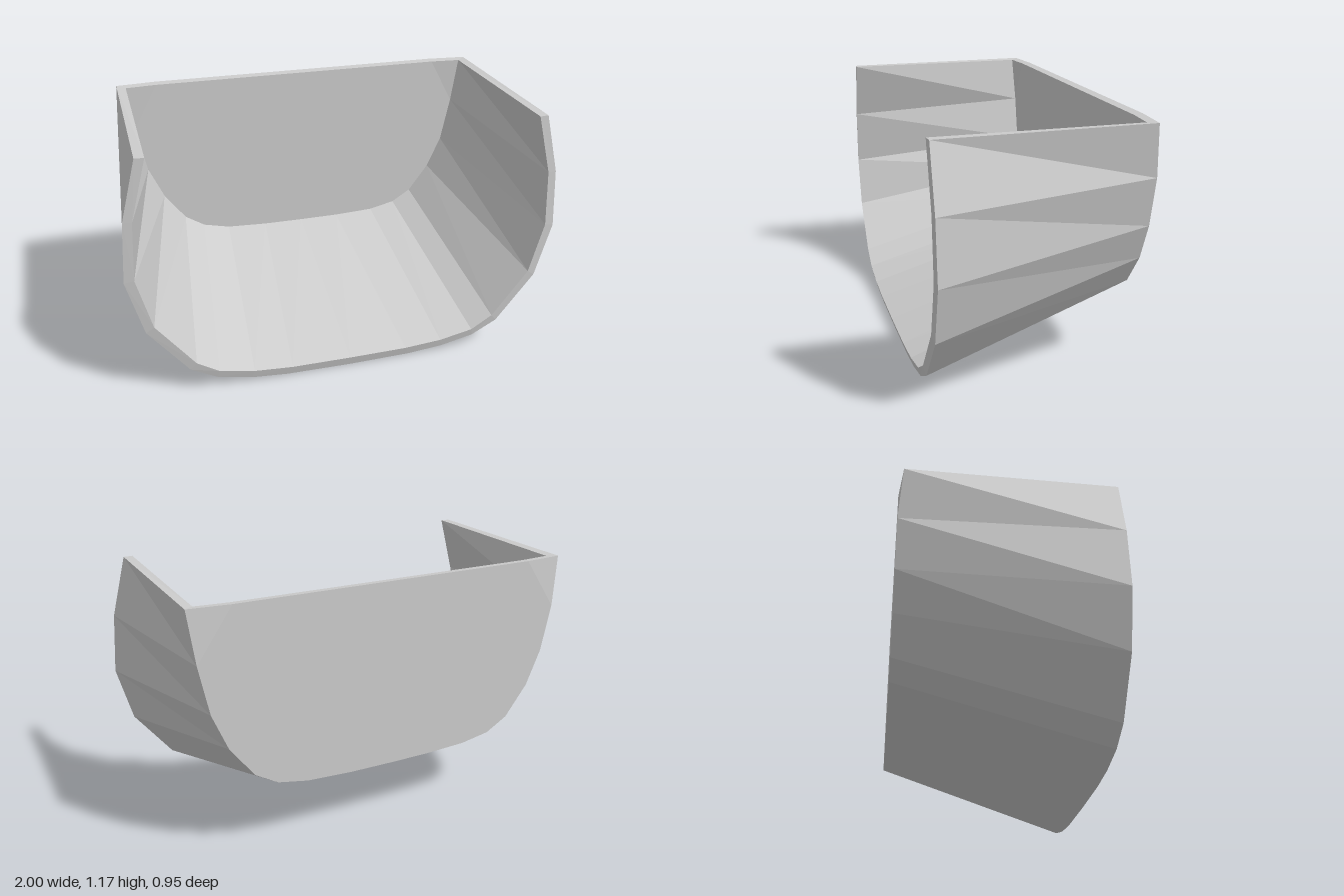
import * as THREE from 'three';

// Expand a half profile (+x rim down to the middle) into a full [x, y, z] section ending at the -x rim
const section = (half, zAt) => {
  const right = half.map(([x, y], i) => new THREE.Vector3(x, y, zAt(i)));
  const left = right.slice(0, -1).reverse().map((p) => new THREE.Vector3(-p.x, p.y, p.z));
  return [...right, ...left];
};

// Quads between two sections
const strip = (a, b) => {
  const tris = [];
  for (let i = 0; i < a.length - 1; i++) {
    tris.push(a[i], a[i + 1], b[i + 1], a[i], b[i + 1], b[i]);
  }
  return tris;
};

// End wall: flat field plus a small folded facet in each top corner
const endWall = (s, top, inward) => {
  const n = s.length;
  const ring = [top[1], ...s.slice(1, -1), top[2], top[1]];
  const centre = new THREE.Vector3(0, 0.75, s[1].z);
  const tris = [top[1], s[0], s[1], s[n - 2], s[n - 1], top[2]];
  for (let i = 0; i < ring.length - 1; i++) tris.push(centre, ring[i], ring[i + 1]);
  return inward ? tris.reverse() : tris;
};

const material = new THREE.MeshStandardMaterial({ color: 0xcccccc, flatShading: true });
const part = (name, points) => {
  const geometry = new THREE.BufferGeometry().setFromPoints(points);
  geometry.computeVertexNormals();
  const mesh = new THREE.Mesh(geometry, material);
  mesh.name = name;
  return mesh;
};

export function createModel() {
  const group = new THREE.Group();
  group.name = 'scoop';

  // Four cross-sections: the wide open front and the narrow raised back, outside and inside
  const frontOuter = section([[0.908, 1.168], [0.98, 0.89], [1, 0.61], [0.93, 0.35], [0.75, 0.12],
    [0.63, 0.055], [0.47, 0.02], [0.3, 0.005], [0, 0]], (i) => 0.471 - i * 0.001);
  const frontInner = section([[0.866, 1.168], [0.94, 0.89], [0.956, 0.62], [0.893, 0.377], [0.722, 0.155],
    [0.62, 0.092], [0.46, 0.06], [0.28, 0.047], [0, 0.045]], () => 0.475);
  const backOuter = section([[0.908, 1.174], [0.88, 0.94], [0.835, 0.72], [0.765, 0.552], [0.655, 0.405],
    [0.55, 0.343], [0.41, 0.317], [0.2, 0.307], [0, 0.306]], (i) => (i ? -0.475 : -0.457));
  const backInner = section([[0.866, 1.17], [0.84, 0.95], [0.795, 0.73], [0.725, 0.575], [0.625, 0.44],
    [0.53, 0.38], [0.4, 0.35], [0.2, 0.341], [0, 0.34]], (i) => (i ? -0.435 : -0.422));
  const last = frontOuter.length - 1;

  // Top edge of the back wall
  const topEdge = (s, y) => [s[0], new THREE.Vector3(0.72, y, s[1].z),
    new THREE.Vector3(-0.72, y, s[1].z), s[last]];
  const topOuter = topEdge(backOuter, 1.174);
  const topInner = topEdge(backInner, 1.17);

  group.add(
    part('outerShell', strip(frontOuter, backOuter)),
    part('innerShell', strip(backInner, frontInner)),
    part('frontLip', strip(frontInner, frontOuter)),
    part('backWallOuter', endWall(backOuter, topOuter, false)),
    part('backWallInner', endWall(backInner, topInner, true)),
    part('backRim', strip(topOuter, topInner)),
    part('leftRim', strip([frontOuter[0], backOuter[0]], [frontInner[0], backInner[0]])),
    part('rightRim', strip([frontInner[last], backInner[last]], [frontOuter[last], backOuter[last]])),
  );
  return group;
}
